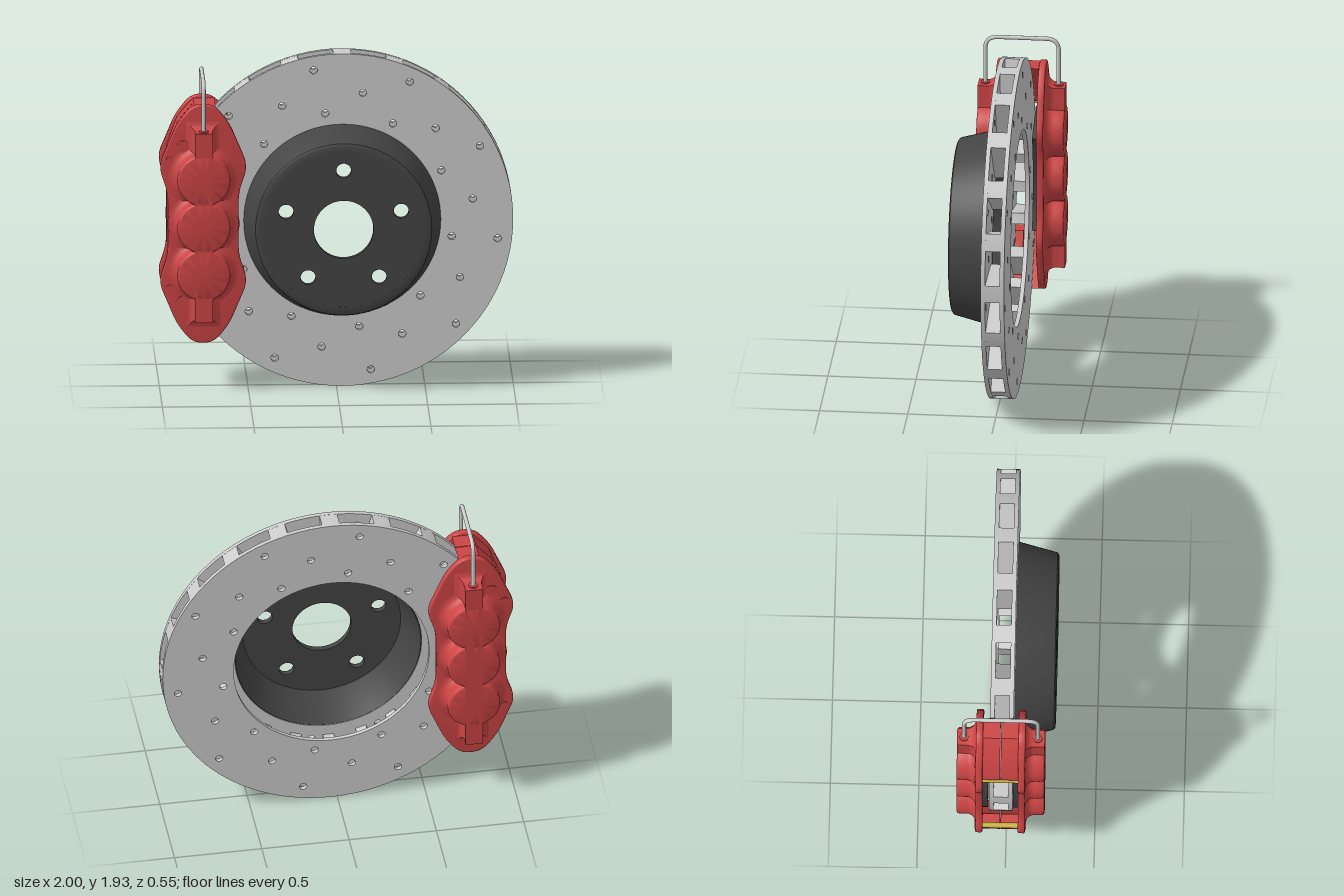
import * as THREE from 'three';
import { toCreasedNormals } from 'three/addons/utils/BufferGeometryUtils.js';

const CX = 0.033, CY = 0.966;          // rotor axis
const KX = -0.755, KZ = -0.03;         // caliper centre
const TAU = Math.PI * 2, DEG = Math.PI / 180;

const mat = (color) => new THREE.MeshStandardMaterial({ color, side: THREE.DoubleSide });
const steel = mat(0xcccccc), dark = mat(0x444444), red = mat(0xcc4444), gold = mat(0xc8b040);

function add(parent, name, geo, material, x = 0, y = 0, z = 0) {
  const mesh = new THREE.Mesh(geo, material);
  mesh.name = name;
  mesh.position.set(x, y, z);
  parent.add(mesh);
  return mesh;
}

// Flat slab between two z levels, with an optional rounded rim
function slab(shape, z0, z1, bevel = 0, curveSegments = 48) {
  const geo = new THREE.ExtrudeGeometry(shape, {
    depth: z1 - z0 - 2 * bevel, curveSegments, bevelEnabled: bevel > 0,
    bevelSize: bevel, bevelThickness: bevel, bevelOffset: -bevel, bevelSegments: 3,
  });
  geo.translate(0, 0, z0 + bevel);
  return toCreasedNormals(geo, 0.6);
}

function disc(r, holes) {
  const s = new THREE.Shape().absarc(0, 0, r, 0, TAU);
  for (const [x, y, hr] of holes) s.holes.push(new THREE.Path().absarc(x, y, hr, 0, TAU, true));
  return s;
}

function sector(r0, r1, a0, a1) {
  const s = new THREE.Shape();
  s.absarc(0, 0, r1, a0, a1, false);
  s.absarc(0, 0, r0, a1, a0, true);
  return s;
}

const polar = (r, deg, hr) => [r * Math.cos(deg * DEG), r * Math.sin(deg * DEG), hr];

// Closed polygon with softened corners
function softPolygon(pts, soft) {
  const s = new THREE.Shape(), v = pts.map((p) => new THREE.Vector2(...p)), n = v.length;
  v.forEach((p, i) => {
    const toward = (q) => {
      const d = q.clone().sub(p);
      return p.clone().addScaledVector(d, Math.min(soft / d.length(), 0.45));
    };
    const a = toward(v[(i + n - 1) % n]), b = toward(v[(i + 1) % n]);
    if (i) s.lineTo(a.x, a.y); else s.moveTo(a.x, a.y);
    s.quadraticCurveTo(p.x, p.y, b.x, b.y);
  });
  s.closePath();
  return s;
}

function buildRotor() {
  const g = new THREE.Group();
  g.name = 'rotor';
  g.position.set(CX, CY, 0);

  // Two drilled friction plates
  const drills = [];
  for (let k = 0; k < 10; k++) {
    for (const [r, a] of [[0.886, 28.5], [0.747, 9], [0.627, 26.8]]) {
      drills.push(polar(r, a + 36 * k, 0.021));
    }
  }
  add(g, 'frontPlate', slab(disc(0.966, [[0, 0, 0.535], ...drills]), 0.015, 0.04), steel);
  add(g, 'backPlate', slab(disc(0.966, [[0, 0, 0.56], ...drills]), -0.093, -0.068), steel);

  // Cooling vanes between the plates
  const vane = slab(sector(0.6, 0.965, -3 * DEG, 3 * DEG), -0.068, 0.015, 0, 8);
  for (let k = 0; k < 20; k++) add(g, 'vane', vane, steel).rotation.z = k * 18 * DEG;

  // Hat: tapered wall and bolted face
  const profile = [[0.53, 0.014], [0.557, 0.04], [0.503, 0.253], [0.498, 0.263], [0.485, 0.27],
    [0.452, 0.27], [0.452, 0.235], [0.53, 0.014]].map((p) => new THREE.Vector2(...p));
  const wall = new THREE.LatheGeometry(profile, 96).rotateX(Math.PI / 2);
  add(g, 'hatWall', toCreasedNormals(wall, 0.5), dark);
  const bolts = [0, 1, 2, 3, 4].map((k) => polar(0.342, 90 + 72 * k, 0.042));
  add(g, 'hatFace', slab(disc(0.46, [[0, 0, 0.168], ...bolts]), 0.235, 0.269), dark);
  return g;
}

// Half caliper, built facing +z with z measured from the caliper centre
function buildCaliperHalf(name) {
  const g = new THREE.Group();
  g.name = name;

  // Flange outline, mirrored from one quarter
  const q = [[0.2, 0.18], [0.252, 0.335], [0.15, 0.58], [0.06, 0.692]];
  const right = [...q.map(([x, y]) => [x, -y]).reverse(), ...q];
  const outline = [...right, ...right.map(([x, y]) => [-x, -y])];
  add(g, 'flange', slab(softPolygon(outline, 0.06), 0.1, 0.14, 0.008, 8), red);

  // Piston housings with a flared foot and rounded rim
  const prof = [[0.205, 0.135]];
  for (let i = 0; i <= 6; i++) {
    const a = (i / 6) * Math.PI / 2;
    prof.push([0.2 - 0.05 * Math.sin(a), 0.19 - 0.05 * Math.cos(a)]);
  }
  for (let i = 0; i <= 4; i++) {
    const a = (i / 4) * Math.PI / 2;
    prof.push([0.135 + 0.015 * Math.cos(a), 0.233 + 0.015 * Math.sin(a)]);
  }
  prof.push([0, 0.248]);
  const piston = toCreasedNormals(new THREE.LatheGeometry(
    prof.map((p) => new THREE.Vector2(...p)), 48).rotateX(Math.PI / 2), 0.6);
  for (const y of [-0.275, 0, 0.275]) add(g, 'pistonHousing', piston, red, 0, y);

  // Spine with a concave flare at its foot
  const spine = new THREE.BoxGeometry(0.1, 1.1, 0.11, 1, 1, 12);
  const p = spine.attributes.position;
  for (let i = 0; i < p.count; i++) {
    const h = p.getZ(i) + 0.055;
    const t = Math.max(0, 1 - h / 0.055);
    const flare = 0.055 * (1 - Math.sqrt(1 - t * t));
    p.setX(i, p.getX(i) + Math.sign(p.getX(i)) * flare);
    p.setY(i, p.getY(i) + Math.sign(p.getY(i)) * flare);
  }
  add(g, 'spine', toCreasedNormals(spine, 0.6), red, 0, 0, 0.193);

  // Bolt heads and pin ends on the flange
  for (const s of [1, -1]) {
    const stud = (r) => new THREE.CylinderGeometry(r, r, 0.02, 24).rotateX(Math.PI / 2);
    add(g, 'boltHead', stud(0.035), red, -0.114, s * 0.452, 0.135);
    add(g, 'pinEnd', stud(0.021), red, -0.19, s * 0.372, 0.135);
  }

  // Brake pad
  add(g, 'pad', slab(sector(0.69, 0.945, 156 * DEG, 204 * DEG), 0.071, 0.102, 0, 24),
    dark, CX - KX, 0, 0);
  return g;
}

function buildCaliper() {
  const g = new THREE.Group();
  g.name = 'caliper';
  g.position.set(KX, CY, KZ);
  const front = buildCaliperHalf('frontHalf');
  const back = buildCaliperHalf('backHalf');
  back.scale.z = -1;
  g.add(front, back);

  // Bridges reach over the rotor rim at both ends
  const bridge = new THREE.Shape();
  const rim = 0.985, dx = CX - KX;
  bridge.moveTo(-0.05, 0.675);
  bridge.lineTo(-0.14, 0.57);
  bridge.lineTo(-0.2, 0.4);
  for (let i = 0; i <= 10; i++) {
    const y = 0.4 + 0.275 * (i / 10);
    bridge.lineTo(dx - Math.sqrt(rim * rim - y * y), y);
  }
  bridge.closePath();
  for (const s of [1, -1]) {
    for (const half of [front, back]) {
      const m = add(half, 'bridge', slab(bridge, 0.002, 0.105), red);
      m.scale.y = s;
    }
    // Pad retaining pins
    add(g, 'pin', new THREE.CylinderGeometry(0.016, 0.016, 0.22, 20).rotateX(Math.PI / 2),
      gold, -0.19, s * 0.372, 0);
  }

  // Crossover fluid pipe
  const V = (y, z) => new THREE.Vector3(0, y, z);
  const path = new THREE.CurvePath();
  const top = 0.832, w = 0.208, c = 0.07;
  path.add(new THREE.LineCurve3(V(0.53, w), V(top - c, w)));
  path.add(new THREE.QuadraticBezierCurve3(V(top - c, w), V(top, w), V(top, w - c)));
  path.add(new THREE.LineCurve3(V(top, w - c), V(top, c - w)));
  path.add(new THREE.QuadraticBezierCurve3(V(top, c - w), V(top, -w), V(top - c, -w)));
  path.add(new THREE.LineCurve3(V(top - c, -w), V(0.53, -w)));
  add(g, 'crossoverPipe', new THREE.TubeGeometry(path, 96, 0.012, 12), steel);
  for (const s of [1, -1]) {
    add(g, 'pipeCollar', new THREE.CylinderGeometry(0.026, 0.026, 0.012, 20), red, 0, 0.552, s * w);
  }
  return g;
}

export function createModel() {
  const model = new THREE.Group();
  model.name = 'brakeAssembly';
  model.add(buildRotor(), buildCaliper());
  return model;
}
